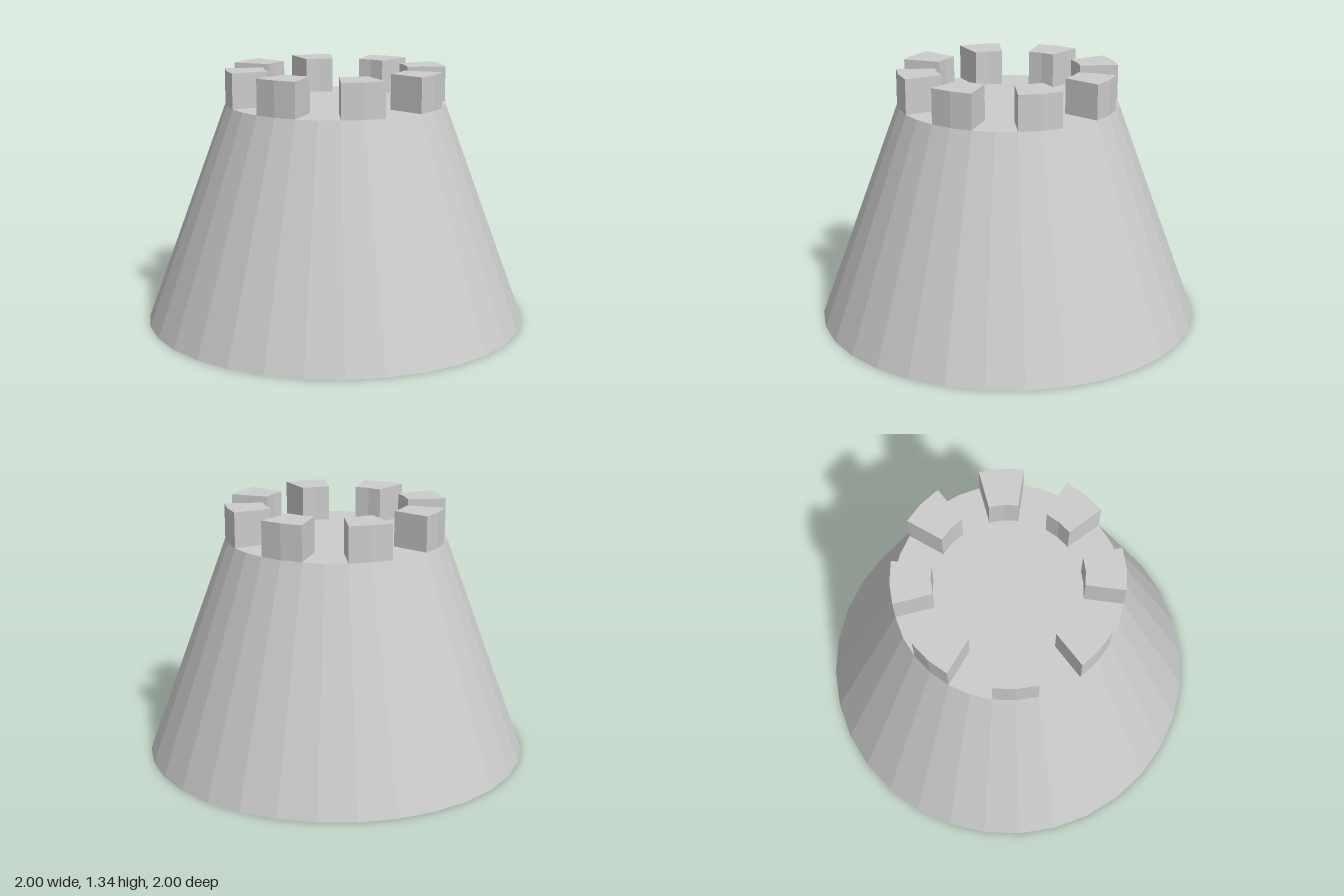
import * as THREE from 'three';

const SIDES = 32, STEP = (Math.PI * 2) / SIDES;
const BASE_R = 1, TOP_R = 0.574, INNER_R = 0.375;
const BODY_H = 1.153, TOTAL_H = 1.335;

export function createModel() {
  const group = new THREE.Group();
  const material = new THREE.MeshStandardMaterial({ color: 0xcccccc, flatShading: true });

  // Tapered faceted tower body
  const body = new THREE.Mesh(new THREE.CylinderGeometry(TOP_R, BASE_R, BODY_H, SIDES), material);
  body.name = 'towerBody';
  body.position.y = BODY_H / 2;
  group.add(body);

  // Merlon plan: ring sector two facets wide
  const arc = (r, angles) => angles.map(a => new THREE.Vector2(r * Math.cos(a), r * Math.sin(a)));
  const plan = new THREE.Shape([
    ...arc(TOP_R, [-STEP, 0, STEP]),
    ...arc(INNER_R, [STEP, 0, -STEP]),
  ]);
  const merlonGeometry = new THREE.ExtrudeGeometry(plan, { depth: TOTAL_H - BODY_H, bevelEnabled: false });
  merlonGeometry.rotateX(-Math.PI / 2);

  // Eight merlons around the rim
  const battlements = new THREE.Group();
  battlements.name = 'battlements';
  for (let i = 0; i < 8; i++) {
    const merlon = new THREE.Mesh(merlonGeometry, material);
    merlon.name = `merlon${i + 1}`;
    merlon.position.y = BODY_H;
    merlon.rotation.y = (i * Math.PI) / 4;
    battlements.add(merlon);
  }
  group.add(battlements);

  return group;
}
